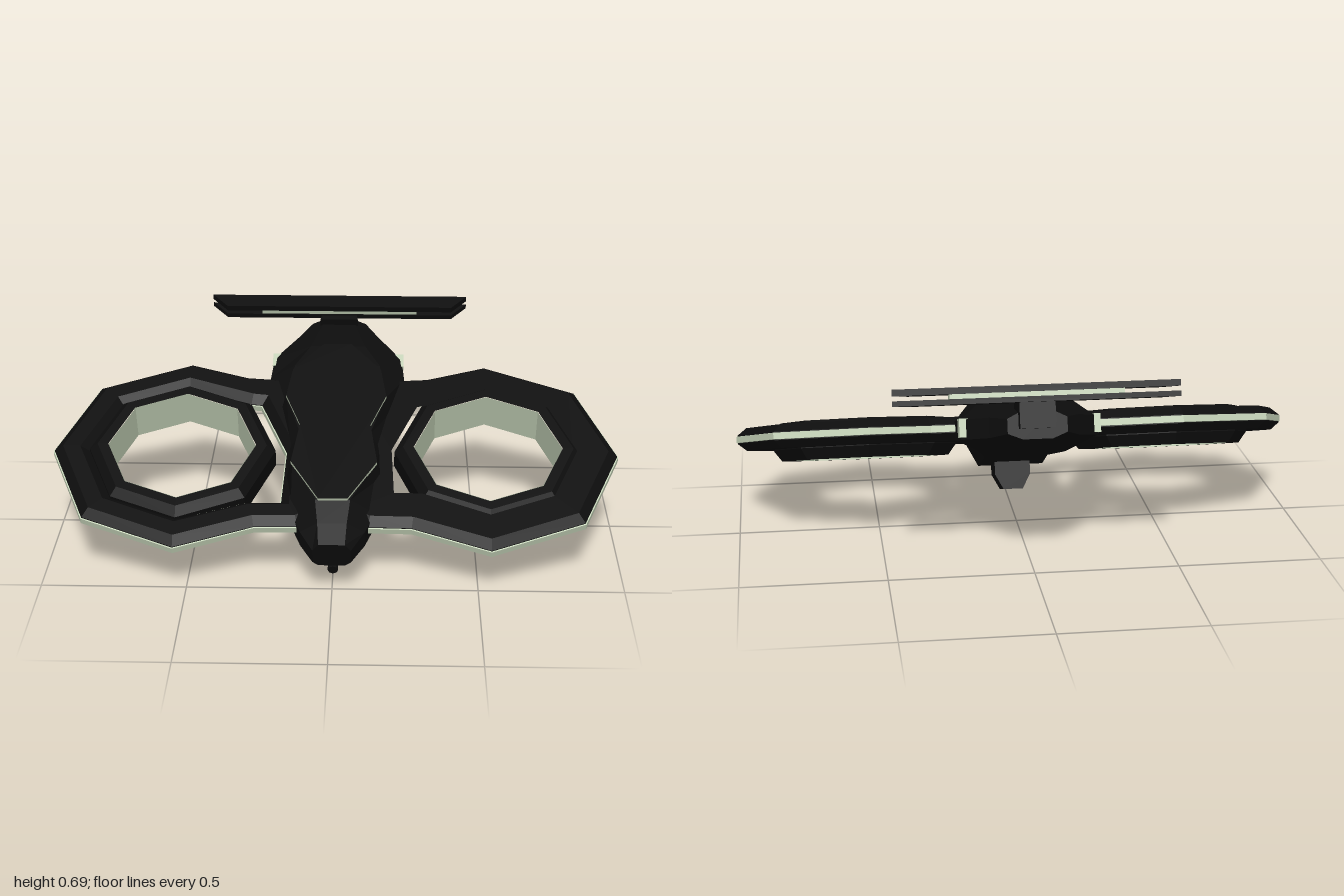
import * as THREE from 'three';

const dark = new THREE.MeshStandardMaterial({ color: 0x0d0d0d, flatShading: true });
const pale = new THREE.MeshStandardMaterial({ color: 0xc5d3b8, flatShading: true });
const paleOpen = new THREE.MeshStandardMaterial({ color: 0xc5d3b8, flatShading: true, side: THREE.DoubleSide });

function add(parent, name, geometry, material, x = 0, y = 0, z = 0) {
  const mesh = new THREE.Mesh(geometry, material);
  mesh.name = name;
  mesh.position.set(x, y, z);
  parent.add(mesh);
  return mesh;
}

// Horizontal slab from an outline of [x, z] points, centred on y = 0
function slab(points, hole, depth, bevelThickness = 0, bevelSize = 0, bevelOffset = 0) {
  const toVec = ([x, z]) => new THREE.Vector2(x, z);
  const shape = new THREE.Shape(points.map(toVec));
  if (hole) shape.holes.push(new THREE.Path(hole.map(toVec)));
  const g = new THREE.ExtrudeGeometry(shape, {
    depth, bevelEnabled: bevelThickness > 0, bevelThickness, bevelSize, bevelOffset, bevelSegments: 1,
  });
  g.translate(0, 0, -depth / 2);
  return g.rotateX(Math.PI / 2);
}

// Outline made symmetric by mirroring its right half
const mirrored = (half) => [...half, ...half.map(([x, z]) => [-x, z]).reverse()];

// Eight-sided hull lofted through [z, topHalf, topY, sideHalf, bottomHalf, bottomY]
function hullGeometry(stations) {
  const pos = [], idx = [], n = 8;
  for (const [z, a, top, s, b, bot] of stations) {
    const h = Math.min(0.034, top * 0.5);
    const half = [[b, bot], [s, -h], [s, h], [a, top]];
    for (const [x, y] of mirrored(half)) pos.push(x, y, z);
  }
  const last = (stations.length - 1) * n;
  for (let i = 0; i < last; i += n) {
    for (let j = 0; j < n; j++) {
      const k = (j + 1) % n;
      idx.push(i + j, i + n + j, i + k, i + k, i + n + j, i + n + k);
    }
  }
  for (let j = 1; j < n - 1; j++) {
    idx.push(0, j, j + 1, last, last + j + 1, last + j);
  }
  const g = new THREE.BufferGeometry();
  g.setAttribute('position', new THREE.Float32BufferAttribute(pos, 3));
  g.setIndex(idx);
  g.computeVertexNormals();
  return g;
}

const lathe = (profile) =>
  new THREE.LatheGeometry(profile.map(([r, y]) => new THREE.Vector2(r, y)), 8);

export function createModel() {
  const model = new THREE.Group();
  const craft = new THREE.Group();
  craft.name = 'aircraft';
  craft.position.y = 0.35;
  craft.rotation.x = THREE.MathUtils.degToRad(20); // nose-down attitude
  model.add(craft);

  // Fuselage
  add(craft, 'fuselage', hullGeometry([
    [0.58, 0.045, 0.057, 0.065, 0.045, -0.044],
    [0.5, 0.05, 0.078, 0.11, 0.08, -0.068],
    [0.41, 0.06, 0.1, 0.145, 0.1, -0.09],
    [0.235, 0.145, 0.1, 0.165, 0.12, -0.12],
    [0.09, 0.122, 0.1, 0.16, 0.11, -0.093],
    [-0.1, 0.178, 0.1, 0.2, 0.13, -0.088],
    [-0.27, 0.155, 0.1, 0.245, 0.13, -0.086],
    [-0.38, 0.1, 0.097, 0.235, 0.12, -0.086],
    [-0.5, 0.07, 0.075, 0.15, 0.08, -0.062],
    [-0.59, 0.05, 0.05, 0.1, 0.05, -0.045],
  ]), dark);

  // Deck plate on the back, pale at its edge
  const deck = mirrored([[0.05, 0.413], [0.15, 0.235], [0.125, 0.05], [0.18, -0.1], [0.16, -0.24], [0.05, -0.38]]);
  add(craft, 'deckPlate', slab(deck, null, 0.012), [dark, pale], 0, 0.103, 0);

  // Wings: frame with an opening, pale rim, and an octagonal duct in each
  const outline = [
    [0.54, 0.567], [0.863, 0.434], [0.996, 0.11], [0.863, -0.214], [0.54, -0.347],
    [0.33, -0.28], [0.2, -0.27], [0.04, -0.2], [0.04, 0.42], [0.12, 0.465], [0.27, 0.468],
  ];
  const opening = [
    [0.54, 0.44], [0.773, 0.343], [0.87, 0.11], [0.773, -0.123], [0.54, -0.22],
    [0.31, -0.14], [0.27, -0.135], [0.17, 0.11], [0.18, 0.355], [0.3, 0.357],
  ];
  for (const side of [1, -1]) {
    const flip = (pts) => pts.map(([x, z]) => [x * side, z]);
    const wing = new THREE.Group();
    wing.name = side > 0 ? 'leftWing' : 'rightWing';
    craft.add(wing);
    add(wing, 'wingFrame', slab(flip(outline), flip(opening), 0.03, 0.026, 0.03, -0.03), dark, 0, 0.009, 0);
    add(wing, 'wingRim', slab(flip(outline), flip(opening), 0.022, 0.001, 0.004), pale, 0, 0.009, 0);
    add(wing, 'rotorDuct', lathe([
      [0.262, -0.075], [0.3, -0.075], [0.33, -0.035], [0.33, 0.035], [0.3, 0.062], [0.262, 0.062],
    ]), dark, side * 0.54, 0, 0.11);
    add(wing, 'ductLining', lathe([[0.26, 0.062], [0.26, -0.075]]), paleOpen, side * 0.54, 0, 0.11);
    add(wing, 'sidePanel', new THREE.BoxGeometry(0.04, 0.064, 0.066), pale, side * 0.222, 0.006, -0.37);
  }

  // Turret under the nose, tapered towards the bottom
  const turret = add(craft, 'turret', new THREE.BoxGeometry(0.13, 0.11, 0.128, 1, 2, 1), dark, 0, -0.155, 0.236);
  const p = turret.geometry.attributes.position;
  for (let i = 0; i < p.count; i++) {
    if (p.getY(i) < -0.01) p.setX(i, p.getX(i) * 0.55);
  }
  add(craft, 'gunBarrel', new THREE.CylinderGeometry(0.018, 0.018, 0.2, 8).rotateX(Math.PI / 2), dark, 0, -0.175, 0.384);

  // Tail: neck and two-layer rear wing with a pale core
  const neck = mirrored([[0.07, -0.54], [0.06, -0.61]]);
  add(craft, 'tailNeck', slab(neck, null, 0.1), dark, 0, 0.04, 0);
  const blade = mirrored([[0.42, -0.563], [0.478, -0.628]]);
  add(craft, 'tailWingTop', slab(blade, null, 0.022), dark, 0, 0.122, 0);
  add(craft, 'tailWingBottom', slab(blade, null, 0.018), dark, 0, 0.086, 0);
  add(craft, 'tailWingCore', new THREE.BoxGeometry(0.58, 0.018, 0.06), pale, 0, 0.103, -0.596);

  return model;
}
